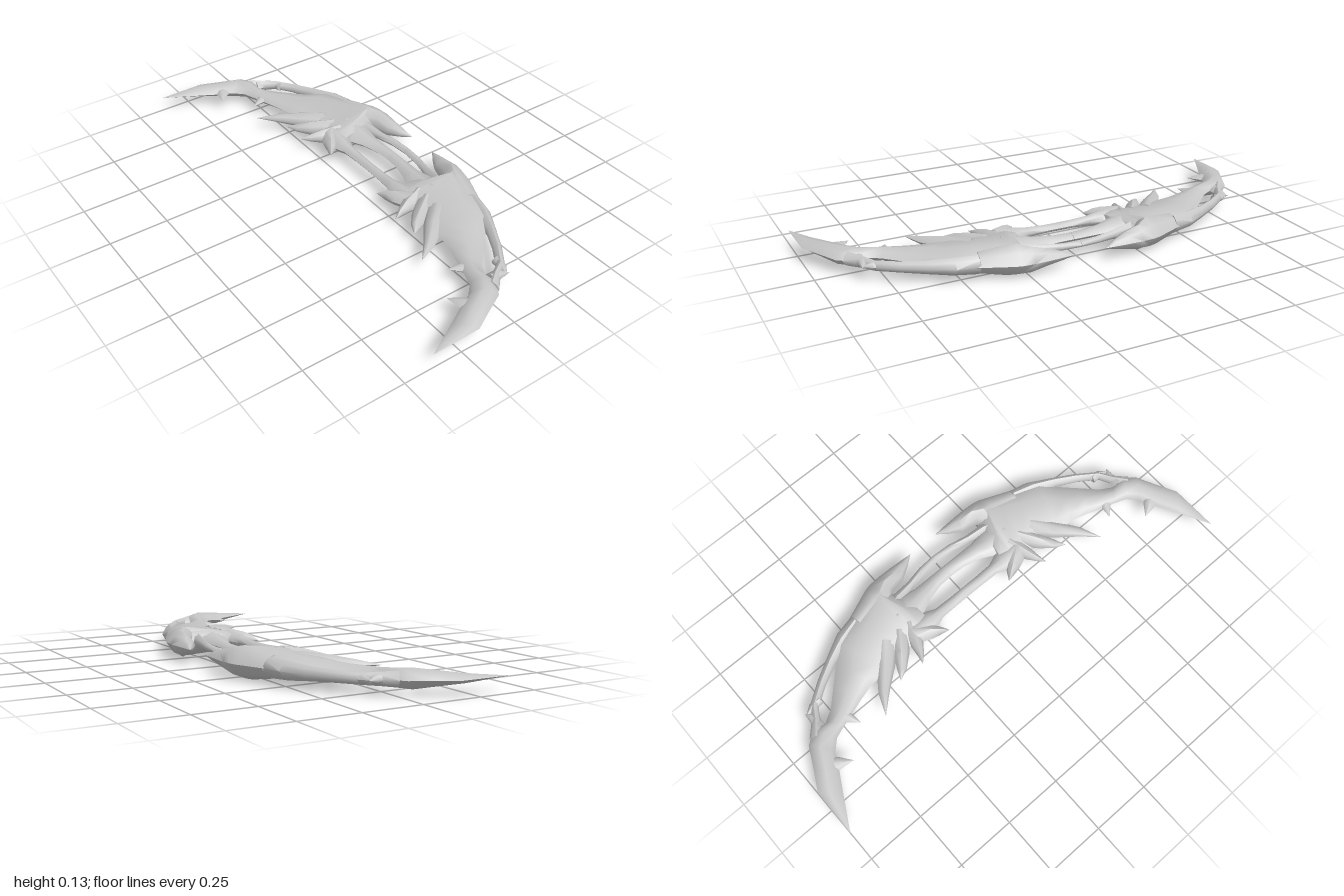
import * as THREE from 'three';
import { toCreasedNormals } from 'three/addons/utils/BufferGeometryUtils.js';

const MID = 0.065; // height of the symmetry plane

// Loft of lens-shaped sections [innerX, innerZ, outerX, outerZ, halfHeight, ridge fraction]
function loft(sections, side) {
  const pos = [], idx = [];
  const n = 8;
  for (const [ix, iz, ox, oz, h, r = 0.5] of sections) {
    const top = [[0, 0], [0.3 * r, 0.62], [r, 1], [r + (1 - r) * 0.6, 0.66], [1, 0]];
    const ring = [...top, ...top.slice(1, 4).reverse().map(([t, y]) => [t, -y])];
    for (const [t, y] of ring) {
      pos.push(ix + (ox - ix) * t, MID + y * h, side * (iz + (oz - iz) * t));
    }
  }
  for (let s = 0; s < sections.length - 1; s++) {
    for (let k = 0; k < n; k++) {
      const a = s * n + k, b = s * n + (k + 1) % n;
      idx.push(a, b, a + n, b, b + n, a + n);
    }
  }
  // end caps
  const last = (sections.length - 1) * n;
  for (let k = 1; k < n - 1; k++) {
    idx.push(0, k + 1, k, last, last + k, last + k + 1);
  }
  // turn the faces outward whichever way the loft runs
  const p = (i) => new THREE.Vector3(pos[i * 3], pos[i * 3 + 1] - MID, pos[i * 3 + 2]);
  let volume = 0;
  for (let i = 0; i < idx.length; i += 3) {
    volume += p(idx[i]).dot(p(idx[i + 1]).cross(p(idx[i + 2])));
  }
  if (volume < 0) idx.reverse();
  const g = new THREE.BufferGeometry();
  g.setAttribute('position', new THREE.Float32BufferAttribute(pos, 3));
  g.setIndex(idx);
  return toCreasedNormals(g, 1.0);
}

// Sections around a centre line of [x, z, width, halfHeight]
function along(path) {
  return path.map(([x, z, w, h], i) => {
    const a = path[Math.max(i - 1, 0)], b = path[Math.min(i + 1, path.length - 1)];
    const dx = b[0] - a[0], dz = b[1] - a[1], l = Math.hypot(dx, dz) * 2;
    return [x - dz / l * w, z + dx / l * w, x + dz / l * w, z - dx / l * w, h];
  });
}

// Broad wing running into the curved blade tip
const wing = [
  [-0.38, 1.0, -0.38, 1.0, 0],
  [-0.25, 0.93, -0.17, 0.998, 0.018],
  [-0.16, 0.88, -0.09, 0.955, 0.029],
  [-0.09, 0.845, 0.0, 0.91, 0.039],
  [-0.05, 0.805, 0.035, 0.86, 0.036],
  [-0.03, 0.75, 0.03, 0.80, 0.028],
  [-0.01, 0.69, 0.06, 0.75, 0.027],
  [0.01, 0.63, 0.13, 0.68, 0.03],
  [0.03, 0.56, 0.2, 0.61, 0.036],
  [0.03, 0.48, 0.275, 0.565, 0.043, 0.6],
  [0.05, 0.40, 0.31, 0.46, 0.05, 0.65],
  [0.05, 0.33, 0.345, 0.37, 0.058, 0.7],
  [0.04, 0.28, 0.372, 0.30, 0.062, 0.74],
  [0.03, 0.25, 0.30, 0.25, 0.046, 0.5],
  [0.06, 0.20, 0.22, 0.22, 0.03, 0.5],
];

// Heavy spike at the shoulder
const shoulder = [
  [0.21, 0.43, 0.318, 0.44, 0.045],
  [0.22, 0.33, 0.368, 0.32, 0.064],
  [0.23, 0.285, 0.375, 0.29, 0.065],
  [0.285, 0.24, 0.378, 0.24, 0.054],
  [0.30, 0.17, 0.377, 0.18, 0.037],
  [0.335, 0.115, 0.374, 0.12, 0.02],
  [0.37, 0.07, 0.37, 0.07, 0],
];

// Slim outer arm that leaves a slot beside the wing
const outerArm = [
  [-0.01, 0.84, 0.02, 0.89, 0.03],
  [0.04, 0.815, 0.075, 0.835, 0.026],
  [0.095, 0.785, 0.13, 0.80, 0.022],
  [0.15, 0.705, 0.19, 0.715, 0.023],
  [0.195, 0.62, 0.245, 0.62, 0.028],
  [0.22, 0.54, 0.295, 0.53, 0.036],
  [0.25, 0.44, 0.315, 0.44, 0.04],
];

// Feathers and barbs as centre lines
const spikes = {
  longFeather: [[0.13, 0.40, 0.10, 0.045], [0.05, 0.47, 0.075, 0.035], [-0.03, 0.545, 0.045, 0.02], [-0.11, 0.6, 0, 0]],
  middleFeather: [[0.13, 0.33, 0.09, 0.045], [0.05, 0.385, 0.065, 0.034], [0.0, 0.425, 0.04, 0.02], [-0.035, 0.46, 0, 0]],
  shortFeather: [[0.13, 0.28, 0.09, 0.045], [0.05, 0.305, 0.06, 0.034], [0.0, 0.325, 0.03, 0.018], [-0.04, 0.345, 0, 0]],
  rootClaw: [[0.09, 0.29, 0.10, 0.042], [0.045, 0.23, 0.065, 0.034], [0.025, 0.20, 0.04, 0.024], [0.0, 0.165, 0, 0]],
  bladeBarb: [[-0.10, 0.91, 0.07, 0.025], [-0.135, 0.865, 0.055, 0.018], [-0.165, 0.81, 0, 0]],
  neckBarb: [[0.02, 0.75, 0.06, 0.022], [-0.015, 0.715, 0.045, 0.016], [-0.065, 0.692, 0, 0]],
  outerBarb: [[0.03, 0.83, 0.05, 0.025], [0.08, 0.825, 0.04, 0.018], [0.115, 0.842, 0, 0]],
  backBarb: [[0.12, 0.76, 0.04, 0.02], [0.115, 0.80, 0.035, 0.018], [0.1, 0.845, 0, 0]],
};

// Half of each bar of the central grip, from the wing to the middle
const gripBars = {
  innerGrip: [[0.09, 0.28, 0.09, 0.04], [0.085, 0.2, 0.09, 0.034], [0.085, 0.15, 0.05, 0.024], [0.085, 0.07, 0.046, 0.019], [0.085, 0, 0.046, 0.018]],
  middleGrip: [[0.18, 0.30, 0.15, 0.05], [0.185, 0.22, 0.13, 0.036], [0.195, 0.15, 0.08, 0.025], [0.205, 0.07, 0.06, 0.019], [0.207, 0, 0.056, 0.018]],
  outerGrip: [[0.225, 0.30, 0.07, 0.045], [0.25, 0.24, 0.05, 0.032], [0.262, 0.16, 0.034, 0.02], [0.279, 0.08, 0.034, 0.016], [0.284, 0, 0.034, 0.015]],
};

export function createModel() {
  const model = new THREE.Group();
  model.name = 'curvedDoubleBlade';
  const metal = new THREE.MeshStandardMaterial({ color: 0xc6c6c6 });
  metal.name = 'pale metal';

  // two mirrored halves
  for (const [label, side] of [['front', 1], ['back', -1]]) {
    const half = new THREE.Group();
    half.name = label + 'Half';
    const add = (name, sections) => {
      const mesh = new THREE.Mesh(loft(sections, side), metal);
      mesh.name = name;
      half.add(mesh);
    };
    add('wingBlade', wing);
    add('shoulderSpike', shoulder);
    add('outerArm', outerArm);
    for (const [name, path] of Object.entries({ ...spikes, ...gripBars })) add(name, along(path));
    model.add(half);
  }
  return model;
}
